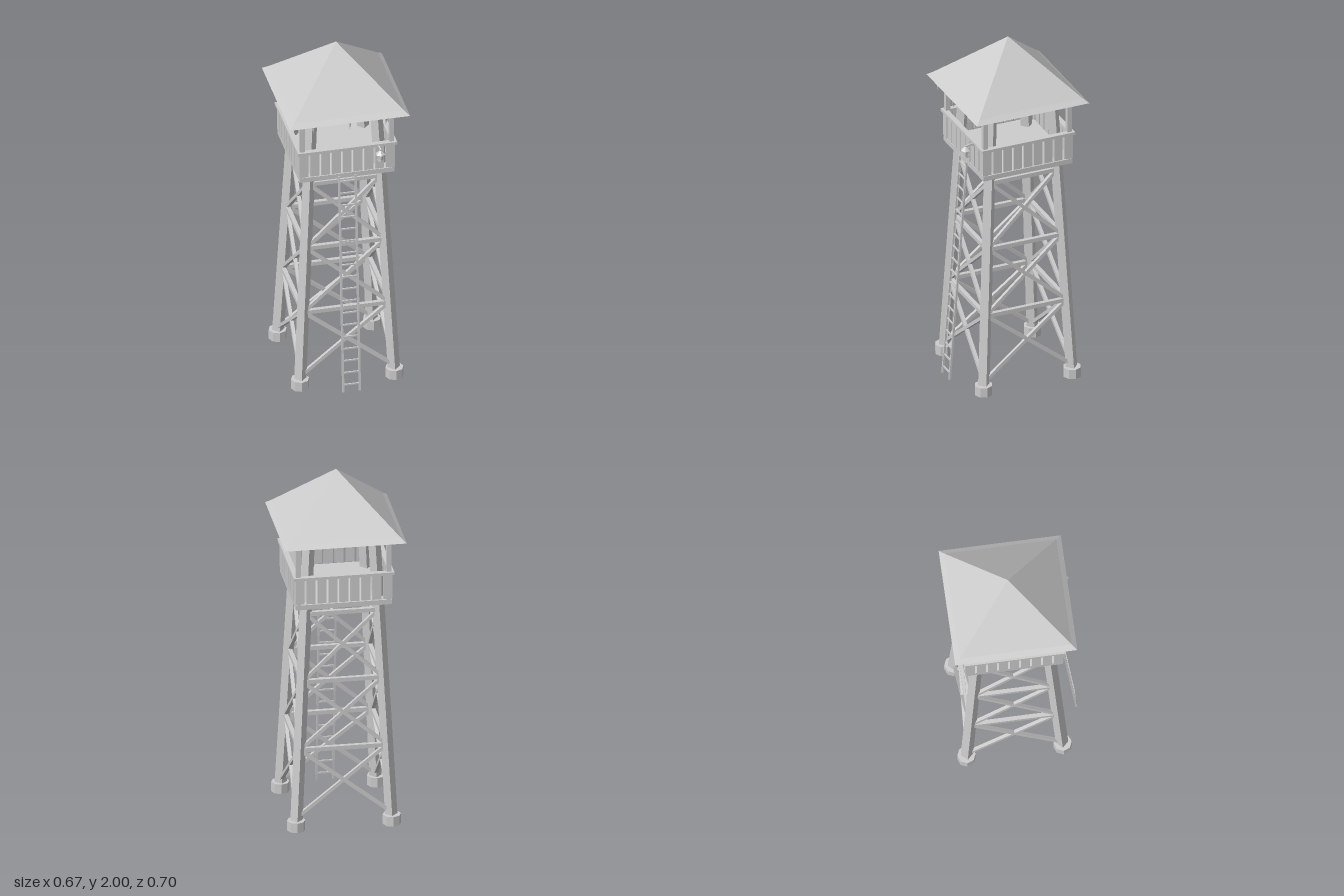
import * as THREE from 'three';

export function createModel() {
  const model = new THREE.Group();
  model.name = 'watchtower';
  const grey = new THREE.MeshStandardMaterial({ color: 0xcccccc, flatShading: true });
  grey.name = 'paleGrey';

  // The tower sits slightly behind the centre; the ladder reaches forward.
  const tower = new THREE.Group();
  tower.name = 'tower';
  tower.position.z = -0.02;
  model.add(tower);

  const V = (x, y, z) => new THREE.Vector3(x, y, z);
  const UP = V(0, 1, 0);
  const add = (parent, name, geo, x = 0, y = 0, z = 0) => {
    const m = new THREE.Mesh(geo, grey);
    m.name = name;
    m.position.set(x, y, z);
    parent.add(m);
    return m;
  };
  const box = (parent, name, w, h, d, x, y, z) =>
    add(parent, name, new THREE.BoxGeometry(w, h, d), x, y, z);
  // Beam between two points; sides = 0 gives a square box beam
  const beam = (parent, name, a, b, size, sides = 0) => {
    const len = a.distanceTo(b);
    const geo = sides
      ? new THREE.CylinderGeometry(size, size, len, sides)
      : new THREE.BoxGeometry(size, len, size);
    const m = add(parent, name, geo);
    m.position.copy(a).add(b).multiplyScalar(0.5);
    m.quaternion.setFromUnitVectors(UP, b.clone().sub(a).normalize());
    return m;
  };
  const legOffset = (y) => 0.262 - 0.0497 * y;

  // Leaning legs, footings and corner posts
  for (const sx of [-1, 1]) {
    for (const sz of [-1, 1]) {
      const at = (y) => V(sx * legOffset(y), y, sz * legOffset(y));
      beam(tower, 'leg', at(0.02), at(1.68), 0.034, 4);
      add(tower, 'footing', new THREE.CylinderGeometry(0.05, 0.05, 0.056, 8),
        sx * 0.262, 0.028, sz * 0.262);
      box(tower, 'cornerPost', 0.026, 0.37, 0.026, sx * 0.248, 1.505, sz * 0.248);
    }
  }

  // Platform floor
  box(tower, 'platform', 0.526, 0.028, 0.526, 0, 1.31, 0);

  // Four equal sides: bracing and railing
  const levels = [0.07, 0.46, 0.853, 1.245];
  for (let s = 0; s < 4; s++) {
    const side = new THREE.Group();
    side.name = 'side';
    side.rotation.y = s * Math.PI / 2;
    tower.add(side);
    const corner = (sx, y) => V(sx * legOffset(y), y, legOffset(y));
    for (let i = 0; i < 3; i++) {
      const lo = levels[i], hi = levels[i + 1];
      beam(side, 'crossBrace', corner(-1, lo), corner(1, hi), 0.019);
      beam(side, 'crossBrace', corner(1, lo), corner(-1, hi), 0.019);
      beam(side, 'horizontalBrace', corner(-1, hi), corner(1, hi), 0.023);
    }
    for (let i = -4; i <= 4; i++) {
      box(side, 'railingBoard', 0.049, 0.144, 0.012, i * 0.06, 1.402, 0.26);
    }
    box(side, 'handrail', 0.55, 0.016, 0.03, 0, 1.48, 0.26);
  }

  // Hipped roof with a slightly flared eave and flat underside
  const R = Math.SQRT2;
  const profile = [[0, 1.68], [0.333, 1.68], [0.305, 1.703], [0, 2]]
    .map(([r, y]) => new THREE.Vector2(r * R, y));
  const roofGeo = new THREE.LatheGeometry(profile, 4).toNonIndexed();
  roofGeo.computeVertexNormals();
  add(tower, 'roof', roofGeo).rotation.y = Math.PI / 4;

  // Small spikes hanging from the front eave
  for (const x of [-0.2, 0, 0.2]) {
    const spike = add(model, 'eaveSpike', new THREE.ConeGeometry(0.008, 0.045, 6), x, 1.66, 0.304);
    spike.rotation.x = Math.PI;
  }

  // Ladder leaning on the platform
  const ladder = new THREE.Group();
  ladder.name = 'ladder';
  model.add(ladder);
  const ladderZ = (y) => 0.346 - 0.0775 * y;
  for (const x of [-0.046, 0.046]) {
    beam(ladder, 'ladderRail', V(x, 0.001, ladderZ(0)), V(x, 1.31, ladderZ(1.31)), 0.011);
  }
  for (let i = 0; i < 18; i++) {
    const y = 0.0435 + i * 0.0725;
    box(ladder, 'ladderRung', 0.092, 0.008, 0.008, 0, y, ladderZ(y));
  }

  // Lantern on a bracket at the front railing
  const lantern = new THREE.Group();
  lantern.name = 'lantern';
  lantern.position.set(0.17, 0, 0.306);
  model.add(lantern);
  add(lantern, 'lanternBody', new THREE.CylinderGeometry(0.019, 0.016, 0.042, 6), 0, 1.439, 0);
  add(lantern, 'lanternBase', new THREE.CylinderGeometry(0.019, 0.019, 0.006, 6), 0, 1.42, 0);
  add(lantern, 'lanternCap', new THREE.ConeGeometry(0.028, 0.026, 6), 0, 1.471, 0);
  beam(lantern, 'lanternArm', V(0, 1.47, -0.06), V(0, 1.487, -0.03), 0.008);
  beam(lantern, 'lanternArm', V(0, 1.487, -0.033), V(0, 1.48, 0.003), 0.008);

  return model;
}
